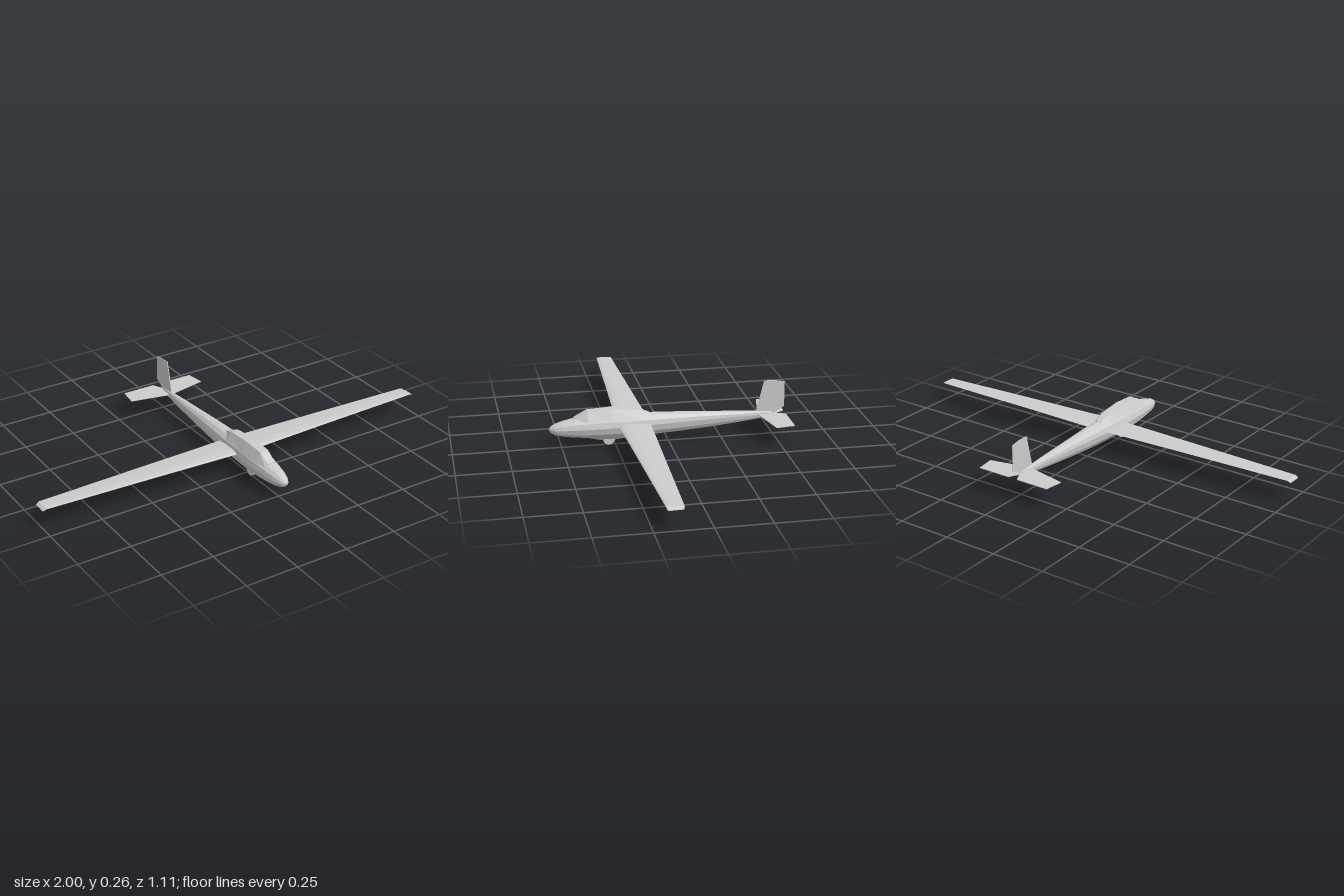
import * as THREE from 'three';

const material = new THREE.MeshStandardMaterial({ color: 0xcccccc, flatShading: true, side: THREE.DoubleSide });

// Skin a list of rings; rings run counter-clockwise when seen from the first end.
function loft(name, rings) {
  const n = rings[0].length;
  const index = [];
  for (let i = 0; i < rings.length - 1; i++) {
    for (let j = 0; j < n; j++) {
      const k = (j + 1) % n;
      const a = i * n + j, b = i * n + k, c = b + n, d = a + n;
      index.push(a, d, b, b, d, c);
    }
  }
  const last = (rings.length - 1) * n;
  for (let j = 1; j < n - 1; j++) {
    index.push(0, j, j + 1, last, last + j + 1, last + j);
  }
  const geometry = new THREE.BufferGeometry();
  geometry.setAttribute('position', new THREE.Float32BufferAttribute(rings.flat(2), 3));
  geometry.setIndex(index);
  geometry.computeVertexNormals();
  return named(name, geometry);
}

function named(name, geometry) {
  const mesh = new THREE.Mesh(geometry, material);
  mesh.name = name;
  return mesh;
}

// Thin plate cut from an outline, centred on its own plane.
function plate(name, outline, thickness) {
  const shape = new THREE.Shape(outline.map(([u, v]) => new THREE.Vector2(u, v)));
  const geometry = new THREE.ExtrudeGeometry(shape, { depth: thickness, bevelEnabled: false });
  geometry.translate(0, 0, -thickness / 2);
  return named(name, geometry);
}

// Body stations: z, half width, bottom, waist height, top, keel drop
function fuselage() {
  const stations = [
    [0.556, 0.005, 0.085, 0.09, 0.096, 0],
    [0.548, 0.017, 0.073, 0.09, 0.106, 0],
    [0.53, 0.027, 0.063, 0.091, 0.116, 0],
    [0.495, 0.037, 0.054, 0.092, 0.127, 0],
    [0.44, 0.046, 0.046, 0.094, 0.139, 0],
    [0.38, 0.052, 0.04, 0.095, 0.146, 0.002],
    [0.32, 0.055, 0.037, 0.096, 0.149, 0.014],
    [0.25, 0.055, 0.035, 0.096, 0.15, 0.014],
    [0.15, 0.051, 0.035, 0.097, 0.147, 0.004],
    [0.08, 0.047, 0.036, 0.098, 0.143, 0],
    [-0.05, 0.038, 0.042, 0.099, 0.138, 0],
    [-0.2, 0.027, 0.053, 0.1, 0.13, 0],
    [-0.35, 0.017, 0.068, 0.1, 0.122, 0],
    [-0.45, 0.009, 0.08, 0.1, 0.115, 0],
    [-0.49, 0.005, 0.087, 0.1, 0.111, 0],
    [-0.505, 0.002, 0.097, 0.101, 0.105, 0],
  ];
  const sides = 12;
  return loft('fuselage', stations.map(([z, w, bottom, waist, top, keel]) =>
    Array.from({ length: sides }, (_, j) => {
      const a = (j / sides) * Math.PI * 2;
      const s = Math.sin(a);
      const y = waist + s * (s > 0 ? top - waist : waist - bottom);
      return [w * Math.cos(a), y - (s < -0.95 ? keel : 0), z];
    })));
}

// Faceted canopy: z, top height, top half width, sill height, sill half width
function canopy() {
  const stations = [
    [0.44, 0.14, 0.018, 0.125, 0.034],
    [0.38, 0.171, 0.021, 0.125, 0.045],
    [0.27, 0.176, 0.023, 0.125, 0.049],
    [0.14, 0.164, 0.019, 0.125, 0.042],
    [0.09, 0.144, 0.012, 0.125, 0.032],
  ];
  return loft('canopy', stations.map(([z, top, tw, sill, sw]) =>
    [[sw, sill, z], [tw, top, z], [-tw, top, z], [-sw, sill, z]]));
}

// Full-span wing: one airfoil scaled along the span, with drooped tips
function wing() {
  const airfoil = [[0, 0], [0.35, 0.6], [0.7, 1], [0.92, 0.7], [1, 0], [0.92, -0.5], [0.7, -0.7], [0.35, -0.3]];
  const half = [
    // x, trailing z, leading z, centre y, half thickness
    [1, 0.125, 0.192, 0.092, 0.002],
    [0.985, 0.12, 0.196, 0.1, 0.003],
    [0.44, 0.103, 0.221, 0.102, 0.006],
    [0, 0.088, 0.242, 0.102, 0.009],
  ];
  const span = [...half, ...half.slice(0, -1).reverse().map(([x, ...rest]) => [-x, ...rest])];
  return loft('wing', span.map(([x, back, front, y, t]) =>
    airfoil.map(([u, v]) => [x, y + v * t, back + u * (front - back)])));
}

export function createModel() {
  const model = new THREE.Group();
  model.name = 'glider';
  model.add(fuselage(), canopy(), wing());

  // Landing wheel half sunk in the belly
  const wheel = named('landingWheel', new THREE.CylinderGeometry(0.028, 0.028, 0.014, 16));
  wheel.rotation.z = Math.PI / 2;
  wheel.position.set(0, 0.028, 0.28);
  model.add(wheel);

  // Upright fin and rudder, drawn in the z-y plane
  const fin = plate('tailFin', [
    [0.42, 0.118], [0.455, 0.264], [0.505, 0.263], [0.554, 0.254], [0.554, 0.132], [0.5, 0.1], [0.43, 0.1],
  ], 0.004);
  fin.rotation.y = Math.PI / 2;
  model.add(fin);

  // Mirrored tailplane halves, laid flat
  for (const [side, name] of [[1, 'leftTailplane'], [-1, 'rightTailplane']]) {
    const half = plate(name, [
      [0, 0.425], [0.197, 0.468], [0.185, 0.558], [0.025, 0.558], [0, 0.51],
    ].map(([x, z]) => [x * side, z]), 0.003);
    half.rotation.x = -Math.PI / 2;
    half.position.y = 0.1;
    model.add(half);
  }
  return model;
}
